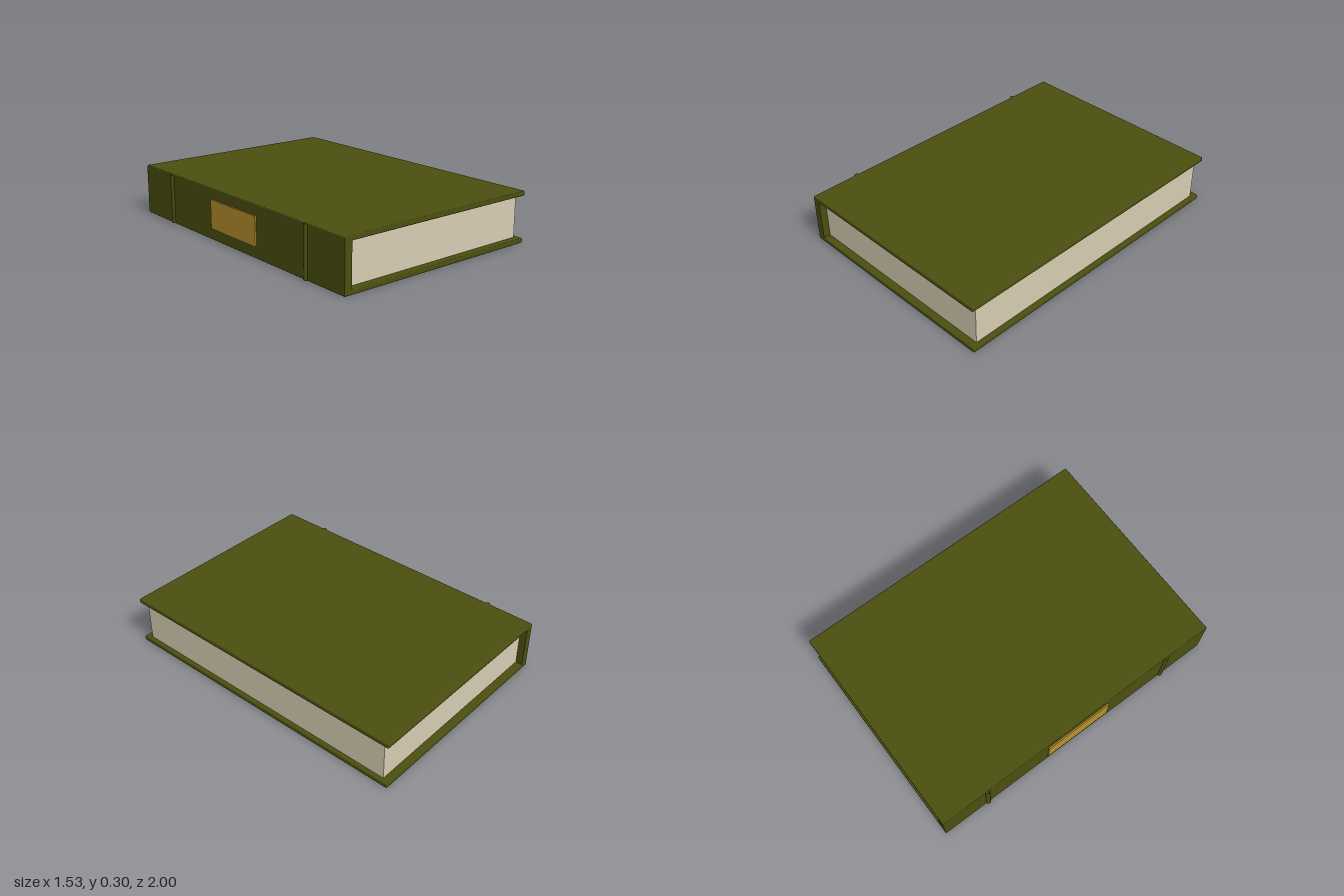
import * as THREE from 'three';
import { RoundedBoxGeometry } from 'three/addons/geometries/RoundedBoxGeometry.js';

const W = 1.288, L = 1.838, H = 0.297; // closed book: width, length, height
const BOARD = 0.027, SPINE = 0.045;    // cover and spine thickness

export function createModel() {
  const mat = (name, color) => {
    const m = new THREE.MeshStandardMaterial({ color });
    m.name = name;
    return m;
  };
  const cloth = mat('olive cloth', 0x4b4f0f);
  const paper = mat('cream paper', 0xd6ccb2);
  const gold = mat('gold label', 0xb8912f);

  const book = new THREE.Group();
  book.name = 'book';
  const add = (name, geometry, material, x, y, z) => {
    const mesh = new THREE.Mesh(geometry, material);
    mesh.name = name;
    mesh.position.set(x, y, z);
    book.add(mesh);
  };

  // Cover boards with slightly softened edges
  const board = new RoundedBoxGeometry(W, BOARD, L, 2, 0.005);
  add('bottomCover', board, cloth, 0, BOARD / 2, 0);
  add('topCover', board, cloth, 0, H - BOARD / 2, 0);

  // Spine along the -x side, filling the height between the boards' outer edges
  add('spine', new THREE.BoxGeometry(SPINE, H - 0.01, L), cloth, -W / 2 + SPINE / 2, H / 2, 0);

  // Page block, inset from the fore-edge and both ends
  const left = -W / 2 + SPINE - 0.005, right = W / 2 - 0.025;
  add('pages', new THREE.BoxGeometry(right - left, H - 2 * BOARD + 0.002, L - 0.082), paper,
    (left + right) / 2, H / 2, 0);

  // Raised bands on the spine
  const band = new THREE.CylinderGeometry(0.016, 0.016, H - 0.004, 16);
  for (const side of [-1, 1]) {
    add(side < 0 ? 'backBand' : 'frontBand', band, cloth, -W / 2 + 0.004, H / 2, side * 0.625);
  }

  // Title plate
  add('spineLabel', new THREE.BoxGeometry(0.009, 0.168, 0.42), gold, -W / 2 - 0.0035, H / 2 + 0.002, 0);

  // The book lies slightly turned
  book.rotation.y = 0.14;
  const model = new THREE.Group();
  model.name = 'closedBook';
  model.add(book);
  return model;
}
